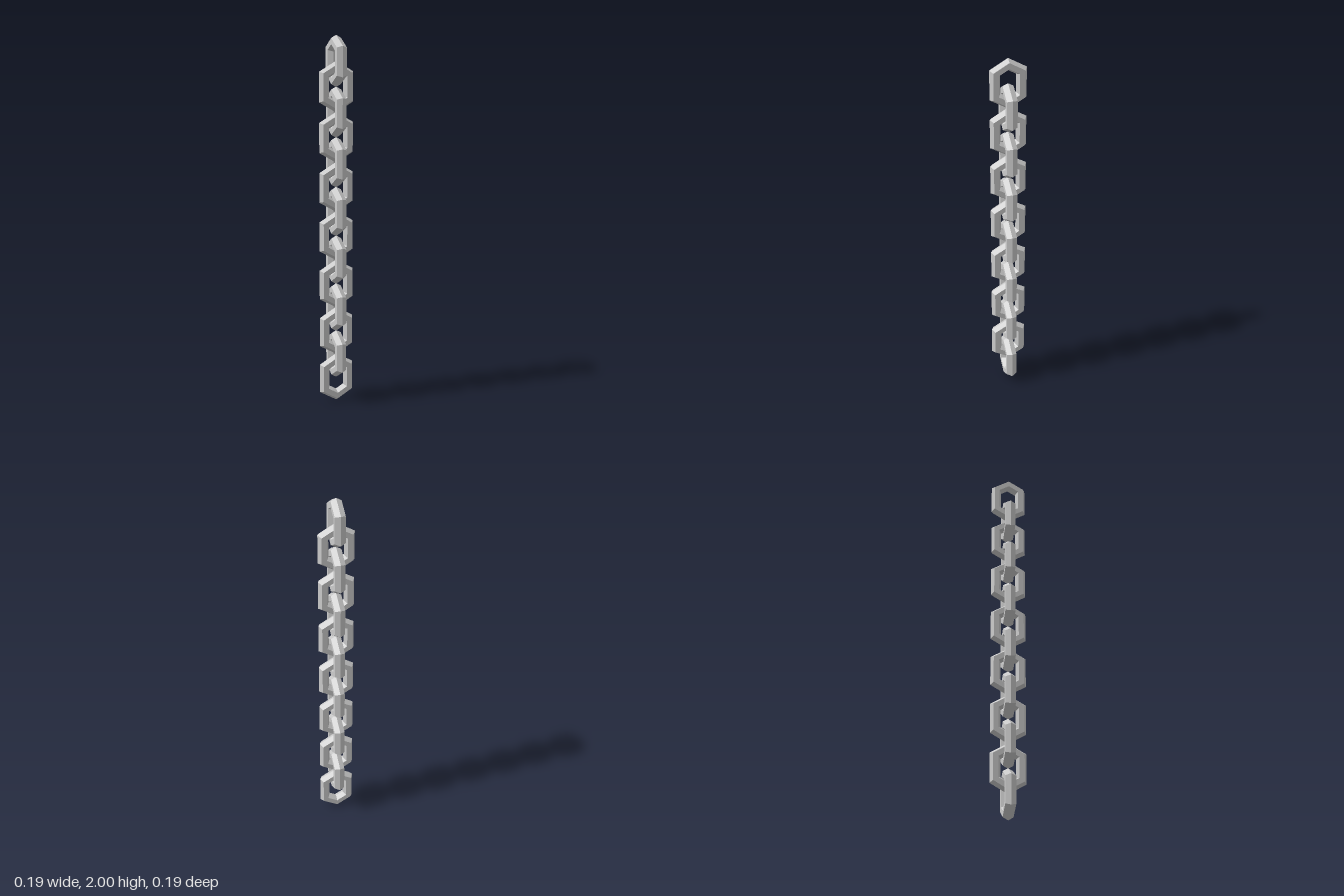
import * as THREE from 'three';

const LINKS = 14;
const RING = 0.078;     // ring radius to the centre of the bar
const BAR = 0.032;      // bar radius
const HEIGHT = 0.27;    // full height of one link
const PITCH = (2 - HEIGHT) / (LINKS - 1);

// Six-sided ring of six-sided bar, pulled apart into a long link
function linkGeometry() {
  const ring = new THREE.TorusGeometry(RING, BAR, 6, 6);
  ring.rotateZ(Math.PI / 6);
  const stretch = HEIGHT / 2 - RING - BAR;
  const pos = ring.attributes.position;
  for (let i = 0; i < pos.count; i++) {
    pos.setY(i, pos.getY(i) + Math.sign(pos.getY(i)) * stretch);
  }
  const geometry = ring.toNonIndexed();
  geometry.computeVertexNormals();
  return geometry;
}

export function createModel() {
  const chain = new THREE.Group();
  chain.name = 'chain';
  const geometry = linkGeometry();
  const material = new THREE.MeshStandardMaterial({ color: 0xcccccc, flatShading: true });

  // Links from bottom to top, every second one turned a quarter
  for (let i = 0; i < LINKS; i++) {
    const link = new THREE.Mesh(geometry, material);
    link.name = `link${i + 1}`;
    link.position.y = HEIGHT / 2 + i * PITCH;
    link.rotation.y = (i % 2) * Math.PI / 2;
    chain.add(link);
  }
  return chain;
}
